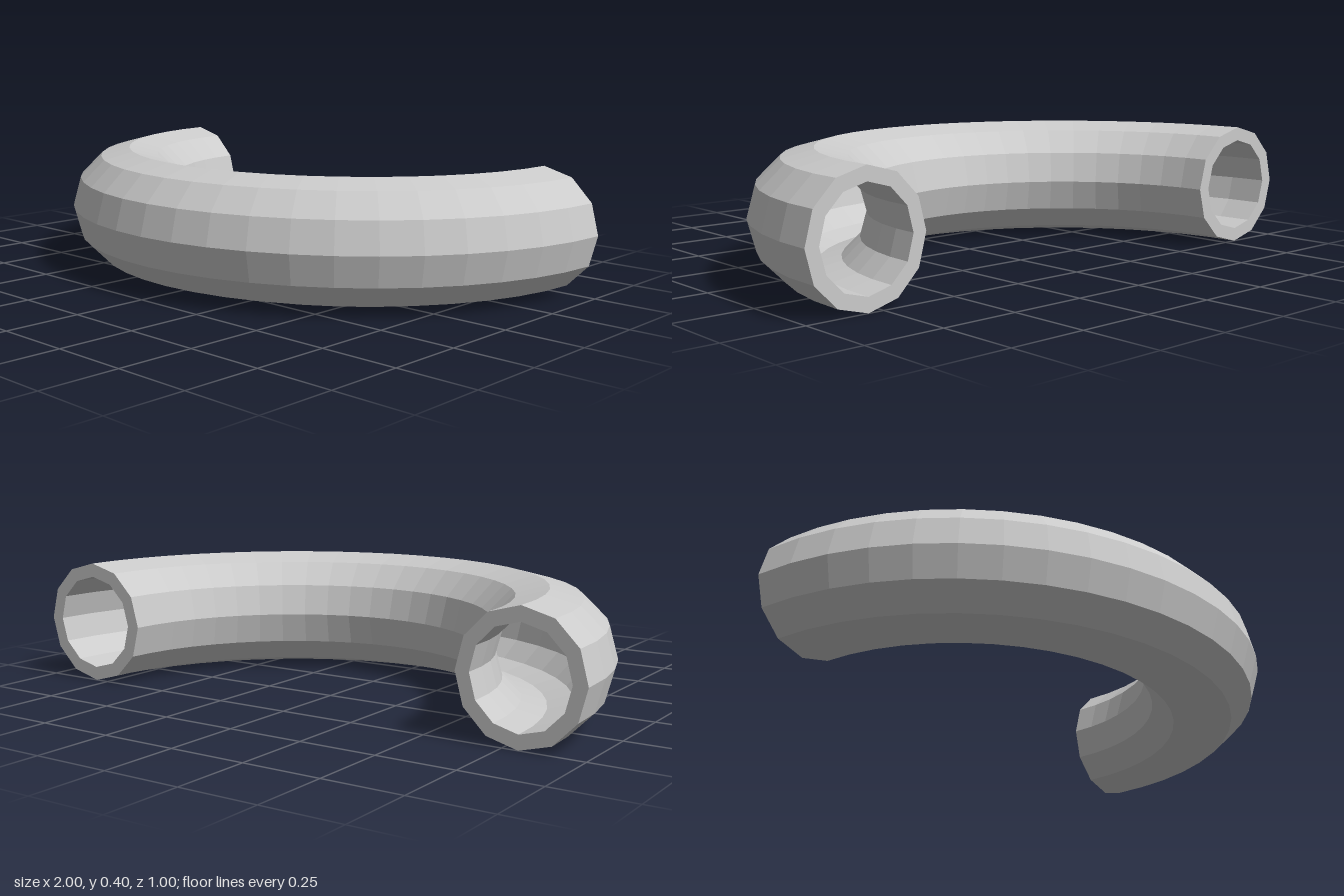
import * as THREE from 'three';

const BEND = 0.8, OUTER = 0.2, INNER = 0.155, SIDES = 12, STEPS = 24;

export function createModel() {
  const group = new THREE.Group();
  group.name = 'pipeBend';
  const material = new THREE.MeshStandardMaterial({ color: 0xcccccc, flatShading: true });

  const add = (name, geometry, x, z) => {
    const mesh = new THREE.Mesh(geometry, material);
    mesh.name = name;
    mesh.position.set(x, OUTER, z);
    group.add(mesh);
    return mesh;
  };

  // Twelve-sided circle swept through a half turn; direction -1 faces inward
  const sweep = (radius, direction) => {
    const profile = [];
    for (let i = 0; i <= SIDES; i++) {
      const a = (direction * i * Math.PI * 2) / SIDES;
      profile.push(new THREE.Vector2(BEND + radius * Math.cos(a), radius * Math.sin(a)));
    }
    return new THREE.LatheGeometry(profile, STEPS, -Math.PI / 2, Math.PI);
  };

  // Outer wall and hollow bore
  add('outerWall', sweep(OUTER, 1), 0, -0.5);
  add('innerBore', sweep(INNER, -1), 0, -0.5);

  // Flat rims closing the wall at both open ends, facing back
  for (const side of [1, -1]) {
    const rim = add(side > 0 ? 'leftRim' : 'rightRim',
      new THREE.RingGeometry(INNER, OUTER, SIDES), side * BEND, -0.5);
    rim.rotation.y = Math.PI;
  }
  return group;
}
